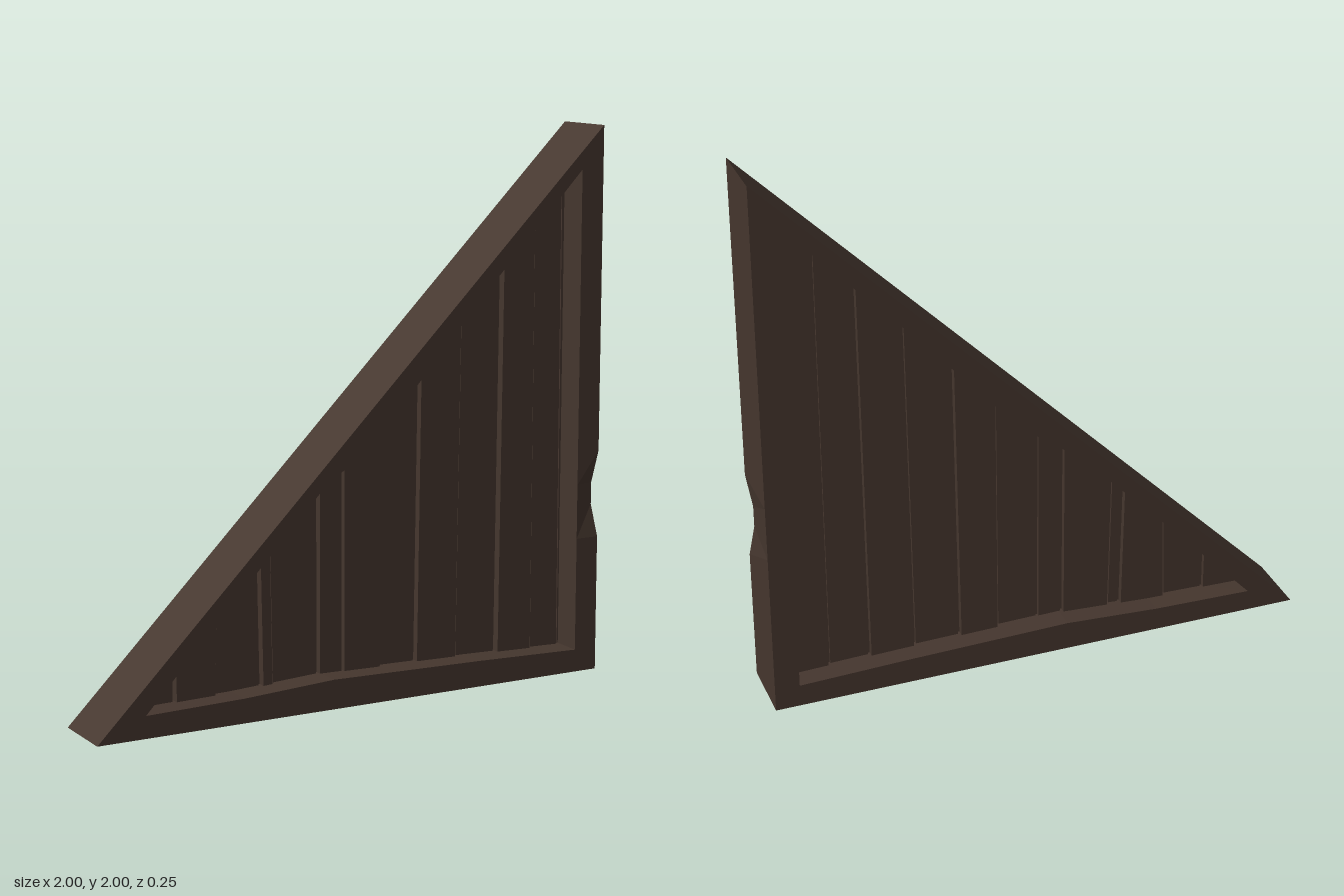
import * as THREE from 'three';

export function createModel() {
  const group = new THREE.Group();
  group.name = 'triangularWall';
  const wood = new THREE.MeshStandardMaterial({ color: 0x45362e });
  wood.name = 'dark wood';

  // Flat outline in x/y, extruded between two depths
  function slab(name, points, back, front) {
    const shape = new THREE.Shape(points.map(([x, y]) => new THREE.Vector2(x, y)));
    const geometry = new THREE.ExtrudeGeometry(shape, { depth: front - back, bevelEnabled: false });
    geometry.translate(0, 0, back);
    const mesh = new THREE.Mesh(geometry, wood);
    mesh.name = name;
    group.add(mesh);
  }

  // Sloping beam, with a slightly uneven inner edge
  slab('rafter', [
    [-1, 0], [-0.91, 0], [-0.83, 0.07], [-0.5, 0.42], [-0.14, 0.79], [0, 0.89],
    [0.1, 0.97], [0.15, 1.03], [0.47, 1.385], [0.91, 1.845], [1, 1.93], [1, 2],
  ], -0.125, 0.125);

  // Bottom beam, hand hewn along its top
  slab('bottomBeam', [
    [-0.91, 0], [0.91, 0], [0.91, 0.083], [0.5, 0.095], [-0.1, 0.107],
    [-0.45, 0.088], [-0.82, 0.08],
  ], -0.125, 0.125);

  // Upright post: top cut to the slope, small chip in its outer front edge
  const postGeometry = new THREE.BoxGeometry(0.09, 1, 0.25, 1, 5, 1).toNonIndexed();
  const heights = [0, 0.5, 0.62, 0.7, 0.82, 1.845];
  const p = postGeometry.attributes.position;
  for (let i = 0; i < p.count; i++) {
    const level = Math.round((p.getY(i) + 0.5) * 5);
    const outer = p.getX(i) > 0, front = p.getZ(i) > 0;
    const chip = outer && front && (level === 2 || level === 3) ? 0.018 : 0;
    p.setXYZ(i, (outer ? 1 : 0.91) - chip,
      heights[level] + (level === 5 && outer ? 0.085 : 0),
      (front ? 0.125 : -0.125) - chip);
  }
  postGeometry.computeVertexNormals();
  const post = new THREE.Mesh(postGeometry, wood);
  post.name = 'post';
  group.add(post);

  // Thin core closing the gaps between planks
  slab('core', [[-0.88, 0.04], [0.93, 0.04], [0.93, 1.88], [-0.88, 0.07]], -0.025, 0.005);

  // Plank joints: x at the foot, x at the head, depth offset of the plank to the right
  const joints = [
    [-0.87, -0.87, 0], [-0.67, -0.67, 0.012], [-0.515, -0.505, -0.008], [-0.335, -0.345, 0.01],
    [-0.29, -0.3, -0.006], [-0.11, -0.11, 0.006], [-0.015, -0.015, 0.012], [0.138, 0.142, -0.01],
    [0.285, 0.3, 0.006], [0.455, 0.472, -0.008], [0.625, 0.638, 0.01], [0.775, 0.775, -0.004],
    [0.9, 0.895, -0.014], [0.93, 0.93, 0],
  ];
  const gap = 0.005;
  for (let i = 0; i < joints.length - 1; i++) {
    const [footL, headL, offset] = joints[i];
    const [footR, headR] = joints[i + 1];
    slab('plank' + (i + 1), [
      [footL + gap, 0.04], [footR - gap, 0.04],
      [headR - gap, headR + 0.945], [headL + gap, headL + 0.945],
    ], -0.042 + offset * 0.8, 0.026 + offset);
  }
  return group;
}
